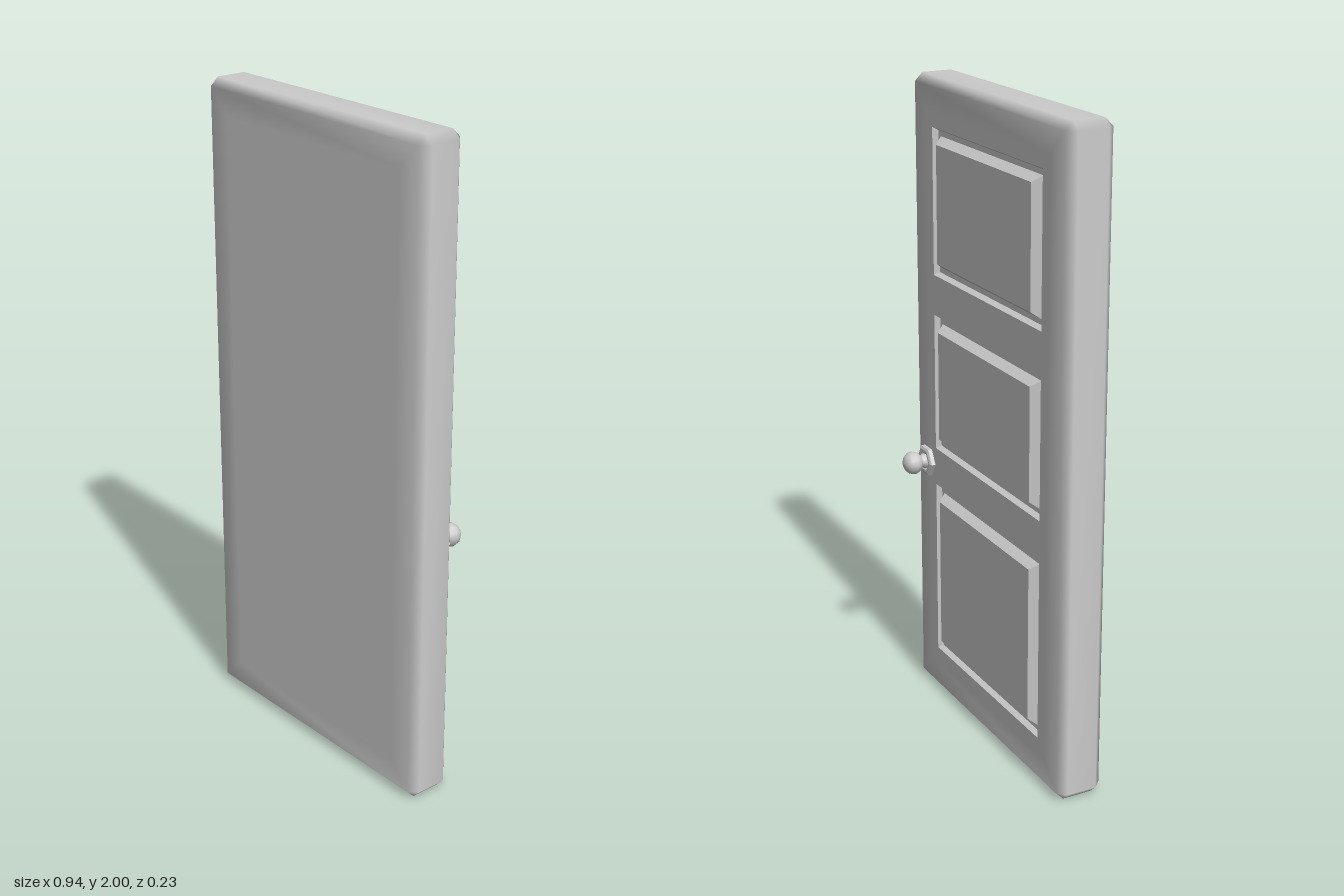
import * as THREE from 'three';
import { mergeVertices } from 'three/addons/utils/BufferGeometryUtils.js';

const W = 0.47, H = 1, FRONT = 0.115, BACK = -0.03, BEVEL = 0.025;

// Rectangle loop with cut corners, counter-clockwise seen from +z
function loop(hw, hh, z, cut = 0) {
  return [
    [hw, -hh + cut], [hw, hh - cut], [hw - cut, hh], [-hw + cut, hh],
    [-hw, hh - cut], [-hw, -hh + cut], [-hw + cut, -hh], [hw - cut, -hh],
  ].map(([x, y]) => new THREE.Vector3(x, y, z));
}

// Skin consecutive loops, leaving out collapsed triangles
function skin(loops) {
  const pos = [];
  const tri = (a, b, c) => {
    if (new THREE.Triangle(a, b, c).getArea() < 1e-9) return;
    for (const p of [a, b, c]) pos.push(p.x, p.y, p.z);
  };
  for (let k = 0; k < loops.length - 1; k++) {
    const a = loops[k], b = loops[k + 1];
    for (let i = 0; i < a.length; i++) {
      const j = (i + 1) % a.length;
      tri(a[i], b[i], b[j]);
      tri(a[i], b[j], a[j]);
    }
  }
  const g = new THREE.BufferGeometry();
  g.setAttribute('position', new THREE.Float32BufferAttribute(pos, 3));
  return g;
}

export function createModel() {
  const group = new THREE.Group();
  group.name = 'door';
  const grey = new THREE.MeshStandardMaterial({ color: 0xcccccc });
  grey.name = 'grey';

  const add = (geometry, name, x, y, z, parent = group) => {
    const m = new THREE.Mesh(geometry, grey);
    m.name = name;
    m.position.set(x, y, z);
    parent.add(m);
    return m;
  };

  // Slab with softly shaded bevelled edges, open at the back
  const slab = mergeVertices(skin([
    loop(0, 0, FRONT),
    loop(W - 0.1, H - 0.1, FRONT),
    loop(W - BEVEL, H - BEVEL, FRONT),
    loop(W, H, FRONT - BEVEL, BEVEL),
    loop(W, H, BACK + BEVEL, BEVEL),
    loop(W - BEVEL, H - BEVEL, BACK),
    loop(W - 0.1, H - 0.1, BACK),
  ]));
  slab.computeVertexNormals();
  add(slab, 'slab', 0, H, 0);

  // Panelled face: openings at the grooves
  const panels = [[1.445, 1.82], [0.885, 1.245], [0.19, 0.69]];
  const panelHalf = 0.295, margin = 0.037;
  const rect = (Kind, hw, y0, y1) => new Kind([
    new THREE.Vector2(-hw, y0), new THREE.Vector2(hw, y0),
    new THREE.Vector2(hw, y1), new THREE.Vector2(-hw, y1),
  ]);
  const face = rect(THREE.Shape, W - 0.1, 0.1, 1.9);
  for (const [y0, y1] of panels) {
    face.holes.push(rect(THREE.Path, panelHalf + margin, y0 - margin, y1 + margin));
  }
  add(new THREE.ShapeGeometry(face).rotateY(Math.PI), 'panelledFace', 0, 0, BACK);

  // Sunken groove rising to a raised field, as [offset, z]
  const section = [[margin, BACK], [0.028, -0.014], [0.012, -0.014], [-0.0075, -0.04]];
  for (const [y0, y1] of panels) {
    const hh = (y1 - y0) / 2;
    const g = skin([
      ...section.map(([d, z]) => loop(panelHalf + d, hh + d, z)),
      loop(0, 0, -0.04),
    ]);
    g.computeVertexNormals();
    add(g, 'raisedPanel', 0, (y0 + y1) / 2, 0);
  }

  // Handle: six-sided rose and round knob, turned about z
  const handle = new THREE.Group();
  handle.name = 'handle';
  handle.position.set(0.386, 0.79, BACK);
  handle.rotation.x = -Math.PI / 2;
  group.add(handle);
  const pts = (list) => list.map(([r, y]) => new THREE.Vector2(r, y));

  const rose = new THREE.LatheGeometry(
    pts([[0.05, 0], [0.05, 0.013], [0.041, 0.017], [0.033, 0.017], [0.026, 0.012], [0, 0.012]]),
    6, Math.PI / 2).toNonIndexed();
  rose.computeVertexNormals();
  add(rose, 'rose', 0, 0, 0, handle);

  add(new THREE.LatheGeometry(pts([
    [0.024, 0.01], [0.023, 0.02], [0.018, 0.026], [0.022, 0.031], [0.032, 0.039],
    [0.037, 0.053], [0.034, 0.068], [0.025, 0.079], [0.013, 0.085], [0, 0.087],
  ]), 12), 'knob', 0, 0, 0, handle);

  return group;
}
